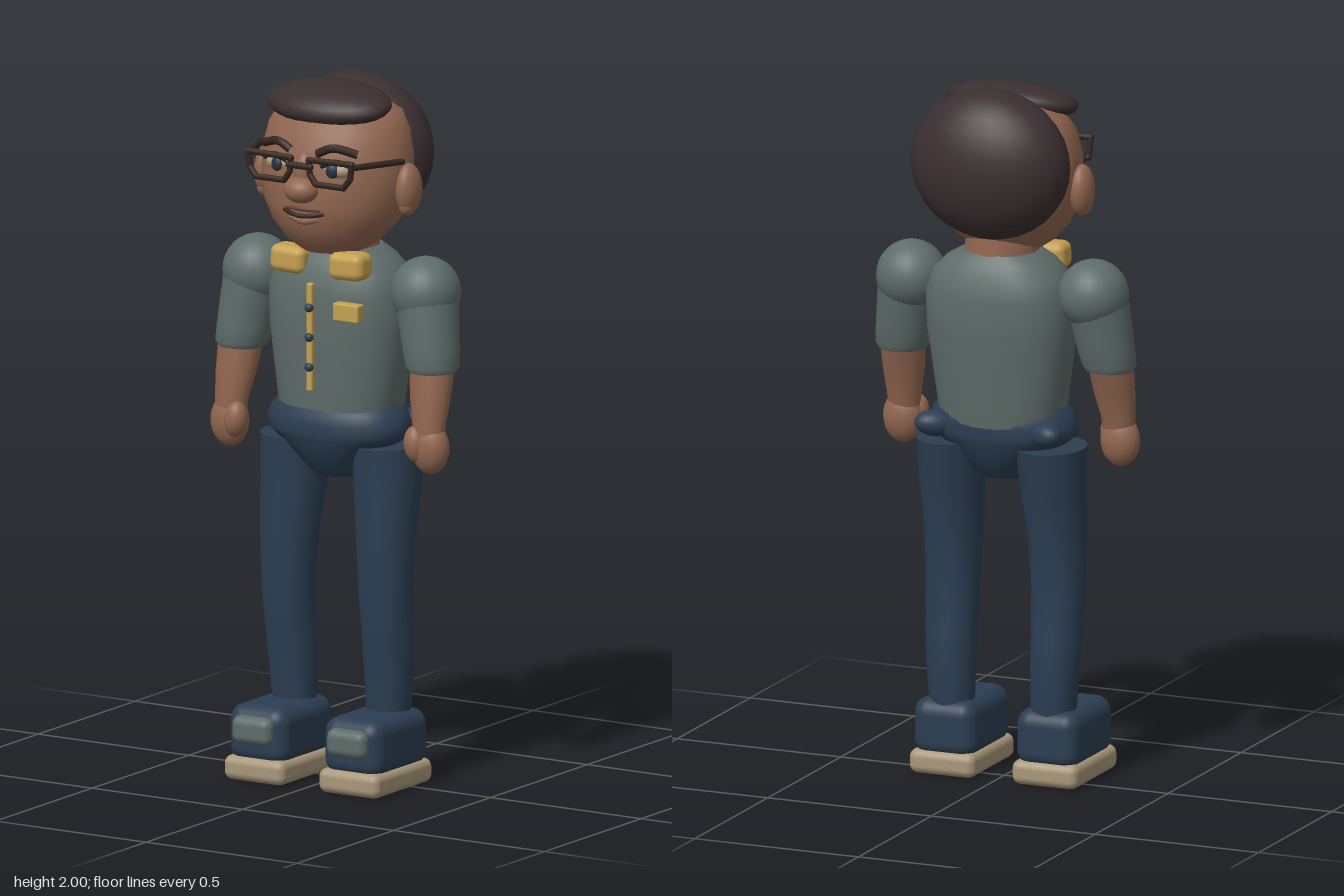
import * as THREE from 'three';
import { RoundedBoxGeometry } from 'three/addons/geometries/RoundedBoxGeometry.js';

const mat = (name, color) => {
  const m = new THREE.MeshStandardMaterial({ color });
  m.name = name;
  return m;
};

// Closed body from elliptical rings [y, centreX, centreZ, radiusX, radiusZ], bottom to top
function loft(rings, power = 2, n = 28) {
  const pos = [], idx = [];
  const bend = (v) => Math.sign(v) * Math.abs(v) ** (2 / power);
  const addRing = ([y, cx, cz, rx, rz]) => {
    for (let j = 0; j < n; j++) {
      const a = (j / n) * Math.PI * 2;
      pos.push(cx + rx * bend(Math.cos(a)), y, cz + rz * bend(Math.sin(a)));
    }
  };
  rings.forEach(addRing);
  for (let i = 0; i < rings.length - 1; i++) {
    for (let j = 0; j < n; j++) {
      const k = (j + 1) % n, a = i * n, b = a + n;
      idx.push(a + j, b + j, a + k, b + j, b + k, a + k);
    }
  }
  // End caps with their own vertices, so the rims stay crisp
  [rings[0], rings[rings.length - 1]].forEach((r, top) => {
    const s = pos.length / 3;
    addRing(r);
    pos.push(r[1], r[0], r[2]);
    for (let j = 0; j < n; j++) {
      const k = (j + 1) % n;
      if (top) idx.push(s + k, s + j, s + n);
      else idx.push(s + j, s + k, s + n);
    }
  });
  const g = new THREE.BufferGeometry();
  g.setAttribute('position', new THREE.Float32BufferAttribute(pos, 3));
  g.setIndex(idx);
  g.computeVertexNormals();
  return g;
}

const ball = (rx, ry, rz) => new THREE.SphereGeometry(1, 24, 16).scale(rx, ry, rz);
const tube = (pts, r) =>
  new THREE.TubeGeometry(new THREE.CatmullRomCurve3(pts.map((p) => new THREE.Vector3(...p))), 16, r, 8);

export function createModel() {
  const root = new THREE.Group();
  const skin = mat('skin', 0x91664f);
  const hair = mat('hair', 0x3b2f30);
  const dark = mat('dark brown', 0x34251f);
  const shirt = mat('shirt grey green', 0x5e6c69);
  const denim = mat('denim blue', 0x2c3e52);
  const gold = mat('gold', 0xc4a050);
  const beige = mat('beige', 0xa8977a);
  const iris = mat('iris', 0x27323e);
  const lip = mat('lip', 0x6d4538);

  const add = (name, geo, m, p = [0, 0, 0], rot = [0, 0, 0], parent = root) => {
    const mesh = new THREE.Mesh(geo, m);
    mesh.name = name;
    mesh.position.set(...p);
    mesh.rotation.set(...rot);
    parent.add(mesh);
    return mesh;
  };
  // Straight round bar with ball ends
  const bar = (name, a, b, r, parent) => {
    const A = new THREE.Vector3(...a), B = new THREE.Vector3(...b), d = B.clone().sub(A);
    const mesh = add(name, new THREE.CapsuleGeometry(r, d.length(), 4, 8), dark, [0, 0, 0], [0, 0, 0], parent);
    mesh.position.copy(A).lerp(B, 0.5);
    mesh.quaternion.setFromUnitVectors(new THREE.Vector3(0, 1, 0), d.normalize());
  };

  // Head, neck and hair
  add('head', loft([
    [1.52, 0, 0.03, 0.09, 0.09], [1.55, 0, 0.03, 0.135, 0.125], [1.6, 0, 0.02, 0.182, 0.165],
    [1.66, 0, 0.01, 0.215, 0.187], [1.73, 0, 0.005, 0.227, 0.19], [1.8, 0, 0, 0.226, 0.185],
    [1.87, 0, -0.005, 0.21, 0.172], [1.92, 0, -0.015, 0.18, 0.145], [1.96, 0, -0.02, 0.11, 0.09],
  ], 2, 32), skin);
  add('neck', new THREE.CylinderGeometry(0.1, 0.11, 0.14, 24), skin, [0, 1.53, -0.015]);
  add('backHair', ball(0.235, 0.215, 0.15), hair, [0, 1.785, -0.095]);
  add('frontHair', ball(0.195, 0.055, 0.115), hair, [-0.005, 1.937, 0.045], [0.2, 0, 0]);

  // Nose and mouth
  add('nose', ball(0.052, 0.038, 0.045), skin, [0, 1.715, 0.198]);
  add('noseBridge', ball(0.03, 0.06, 0.03), skin, [0, 1.76, 0.18]);
  add('mouth', tube([[-0.065, 1.65, 0.182], [-0.03, 1.643, 0.197], [0, 1.64, 0.2], [0.03, 1.643, 0.197], [0.065, 1.65, 0.182]], 0.007), dark);
  add('upperLip', tube([[-0.055, 1.659, 0.184], [0, 1.66, 0.196], [0.055, 1.659, 0.184]], 0.007), lip);
  add('lowerLip', tube([[-0.045, 1.632, 0.178], [0, 1.624, 0.189], [0.045, 1.632, 0.178]], 0.011), skin);
  bar('glassesBridge', [-0.035, 1.785, 0.207], [0.035, 1.785, 0.207], 0.01);

  // Torso, placket, buttons, chest pocket
  add('torso', loft([
    [1.03, 0, -0.01, 0.17, 0.125], [1.07, 0, -0.01, 0.183, 0.13], [1.18, 0, -0.012, 0.198, 0.138],
    [1.3, 0, -0.015, 0.214, 0.148], [1.4, 0, -0.018, 0.216, 0.15], [1.46, 0, -0.018, 0.195, 0.138],
    [1.5, 0, -0.018, 0.155, 0.118], [1.525, 0, -0.018, 0.11, 0.1],
  ], 2.4, 32), shirt);
  add('placket', new RoundedBoxGeometry(0.02, 0.31, 0.02, 2, 0.006), gold, [0, 1.285, 0.15]);
  for (const y of [1.37, 1.285, 1.2]) add('button', ball(0.013, 0.013, 0.012), denim, [0, y, 0.158]);
  add('chestPocket', new RoundedBoxGeometry(0.085, 0.052, 0.035, 2, 0.006), gold, [0.12, 1.368, 0.143]);

  // Trouser seat
  add('trouserSeat', loft([
    [0.87, 0, 0, 0.07, 0.06], [0.9, 0, 0, 0.1, 0.09], [0.95, 0, 0, 0.15, 0.118],
    [0.985, 0, 0, 0.2, 0.13], [1.0, 0, 0, 0.218, 0.134], [1.03, 0, 0, 0.218, 0.135],
    [1.06, 0, -0.003, 0.205, 0.13], [1.08, 0, -0.005, 0.185, 0.118],
  ], 2.2, 32), denim);

  // Mirrored parts
  for (const s of [1, -1]) {
    const side = new THREE.Group();
    side.name = s > 0 ? 'leftSide' : 'rightSide';
    root.add(side);
    const put = (name, geo, m, p, rot) => add(name, geo, m, p, rot, side);

    // Face
    put('ear', ball(0.034, 0.073, 0.048), skin, [s * 0.234, 1.71, 0.008]);
    put('earLobe', ball(0.022, 0.03, 0.028), skin, [s * 0.235, 1.665, 0.018]);
    put('eye', ball(0.046, 0.024, 0.03), beige, [s * 0.1, 1.775, 0.155], [0, s * 0.3, 0]);
    put('iris', ball(0.019, 0.02, 0.01), iris, [s * 0.092, 1.775, 0.182], [0, s * 0.25, 0]);
    put('eyelid', tube([[s * 0.055, 1.787, 0.183], [s * 0.1, 1.8, 0.173], [s * 0.147, 1.785, 0.155]], 0.008), dark);
    put('eyebrow', tube([[s * 0.042, 1.82, 0.183], [s * 0.09, 1.839, 0.174], [s * 0.155, 1.823, 0.147]], 0.012), dark);

    // Glasses
    const rim = [[0.03, 1.805], [0.033, 1.765], [0.052, 1.738], [0.145, 1.738], [0.167, 1.765], [0.172, 1.808]];
    rim.forEach(([x, y], i) => {
      const [u, v] = rim[(i + 1) % rim.length];
      bar('glassesRim', [s * x, y, 0.206], [s * u, v, 0.206], 0.009, side);
    });
    bar('glassesTemple', [s * 0.172, 1.798, 0.204], [s * 0.236, 1.795, 0.045], 0.009, side);

    // Bow tie half
    put('bowTie', new RoundedBoxGeometry(0.112, 0.078, 0.08, 3, 0.024), gold, [s * 0.097, 1.49, 0.095], [0, 0, s * 0.03]);

    // Arm
    put('shoulder', ball(0.1, 0.1, 0.1), shirt, [s * 0.278, 1.418, -0.012]);
    put('sleeve', loft([
      [1.2, s * 0.316, 0.012, 0.068, 0.066], [1.215, s * 0.315, 0.012, 0.077, 0.074],
      [1.26, s * 0.308, 0.007, 0.081, 0.079], [1.33, s * 0.297, 0, 0.085, 0.085],
      [1.4, s * 0.285, -0.008, 0.09, 0.09],
    ]), shirt);
    put('forearm', loft([
      [1.0, s * 0.328, 0.052, 0.045, 0.036], [1.06, s * 0.327, 0.047, 0.05, 0.041],
      [1.13, s * 0.322, 0.033, 0.06, 0.05], [1.22, s * 0.317, 0.015, 0.066, 0.06],
    ]), skin);
    put('hand', ball(0.058, 0.075, 0.045), skin, [s * 0.332, 0.99, 0.05]);
    put('thumb', ball(0.034, 0.052, 0.033), skin, [s * 0.298, 1.0, 0.072], [0, 0, s * 0.1]);

    // Leg and hip pocket
    put('leg', loft([
      [0.2, s * 0.155, -0.01, 0.064, 0.062], [0.3, s * 0.158, -0.01, 0.069, 0.07],
      [0.42, s * 0.161, 0.0, 0.074, 0.075], [0.55, s * 0.161, 0.012, 0.077, 0.078],
      [0.7, s * 0.159, 0.01, 0.083, 0.086], [0.85, s * 0.154, -0.008, 0.093, 0.103],
      [0.97, s * 0.151, -0.018, 0.098, 0.118],
    ]), denim);
    put('hipPocket', ball(0.066, 0.038, 0.042), denim, [s * 0.165, 1.02, -0.09], [0, s * 0.7, s * 0.1]);

    // Shoe
    put('shoeSole', new RoundedBoxGeometry(0.2, 0.07, 0.3, 3, 0.024), beige, [s * 0.157, 0.035, 0.06]);
    put('shoeUpper', new RoundedBoxGeometry(0.19, 0.165, 0.285, 4, 0.045), denim, [s * 0.157, 0.133, 0.058]);
    put('toePatch', new RoundedBoxGeometry(0.13, 0.08, 0.06, 3, 0.025), shirt, [s * 0.157, 0.15, 0.196]);
  }
  return root;
}
